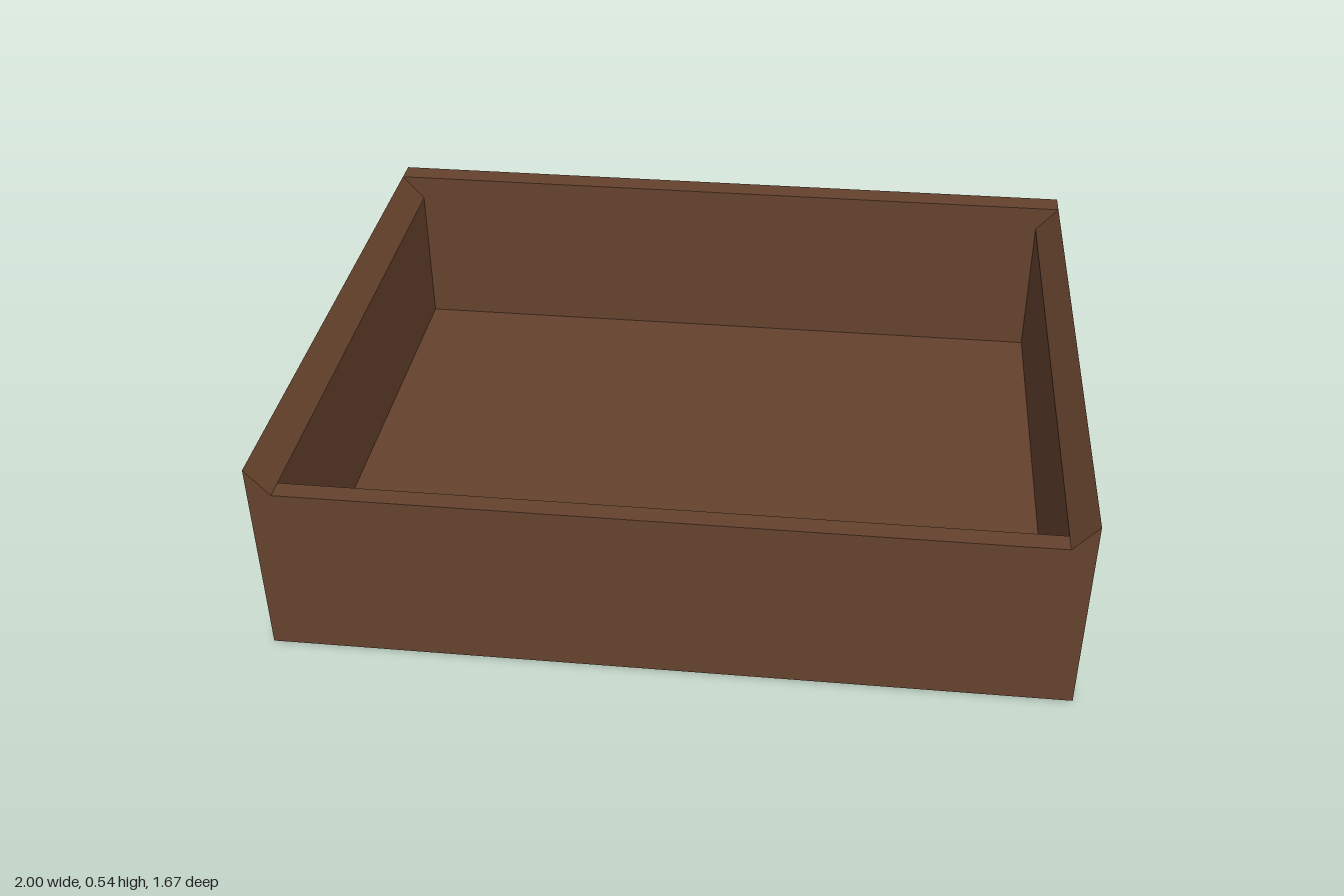
import * as THREE from 'three';

const W = 1, H = 0.54, RIM = 0.47, INNER = 0.94;
const Z_REAR = 0.835, Z_PANEL = -0.68, Z_STEP = -0.745, Z_FACE = -0.775;

export function createModel() {
  const group = new THREE.Group();
  group.name = 'drawer';

  const wood = new THREE.MeshStandardMaterial({ color: 0x65422d });
  wood.name = 'brown wood';
  const metal = new THREE.MeshStandardMaterial({ color: 0xa8978b });
  metal.name = 'pale handle';

  const add = (name, geometry, material) => {
    const mesh = new THREE.Mesh(geometry, material);
    mesh.name = name;
    group.add(mesh);
    return mesh;
  };

  // Box given by its minimum and maximum corners
  const addBox = (name, [x0, y0, z0], [x1, y1, z1], material) => {
    const mesh = add(name, new THREE.BoxGeometry(x1 - x0, y1 - y0, z1 - z0), material);
    mesh.position.set((x0 + x1) / 2, (y0 + y1) / 2, (z0 + z1) / 2);
  };

  // Side walls: the top slopes down towards the inside
  for (const [name, s] of [['leftWall', 1], ['rightWall', -1]]) {
    const profile = new THREE.Shape([
      new THREE.Vector2(s * W, 0),
      new THREE.Vector2(s * W, H),
      new THREE.Vector2(s * INNER, RIM),
      new THREE.Vector2(s * INNER, 0),
    ]);
    const geometry = new THREE.ExtrudeGeometry(profile, { depth: Z_REAR - Z_PANEL, bevelEnabled: false });
    geometry.translate(0, 0, Z_PANEL);
    add(name, geometry, wood);
  }

  // Floor and the lower end wall
  addBox('floor', [-INNER, 0, Z_PANEL], [INNER, 0.065, 0.785], wood);
  addBox('endWall', [-INNER, 0, 0.785], [INNER, RIM, Z_REAR], wood);

  // Drawer panel: a slab whose outer face is drawn in to form a bevel
  const panel = new THREE.BoxGeometry(2 * W, H, Z_PANEL - Z_FACE, 1, 1, 2);
  const p = panel.attributes.position;
  for (let i = 0; i < p.count; i++) {
    const z = p.getZ(i);
    if (Math.abs(z) < 0.01) p.setZ(i, Z_STEP);
    else if (z > 0) p.setZ(i, Z_PANEL);
    else p.setXYZ(i, p.getX(i) * 0.955, p.getY(i) * 0.778, Z_FACE);
  }
  const bevelled = panel.toNonIndexed();
  bevelled.computeVertexNormals();
  bevelled.translate(0, H / 2, 0);
  add('bevelledPanel', bevelled, wood);

  // Bar handle, set slightly off centre
  addBox('handle', [-0.27, 0.24, -0.835], [0.145, 0.3, Z_FACE], metal);

  return group;
}
